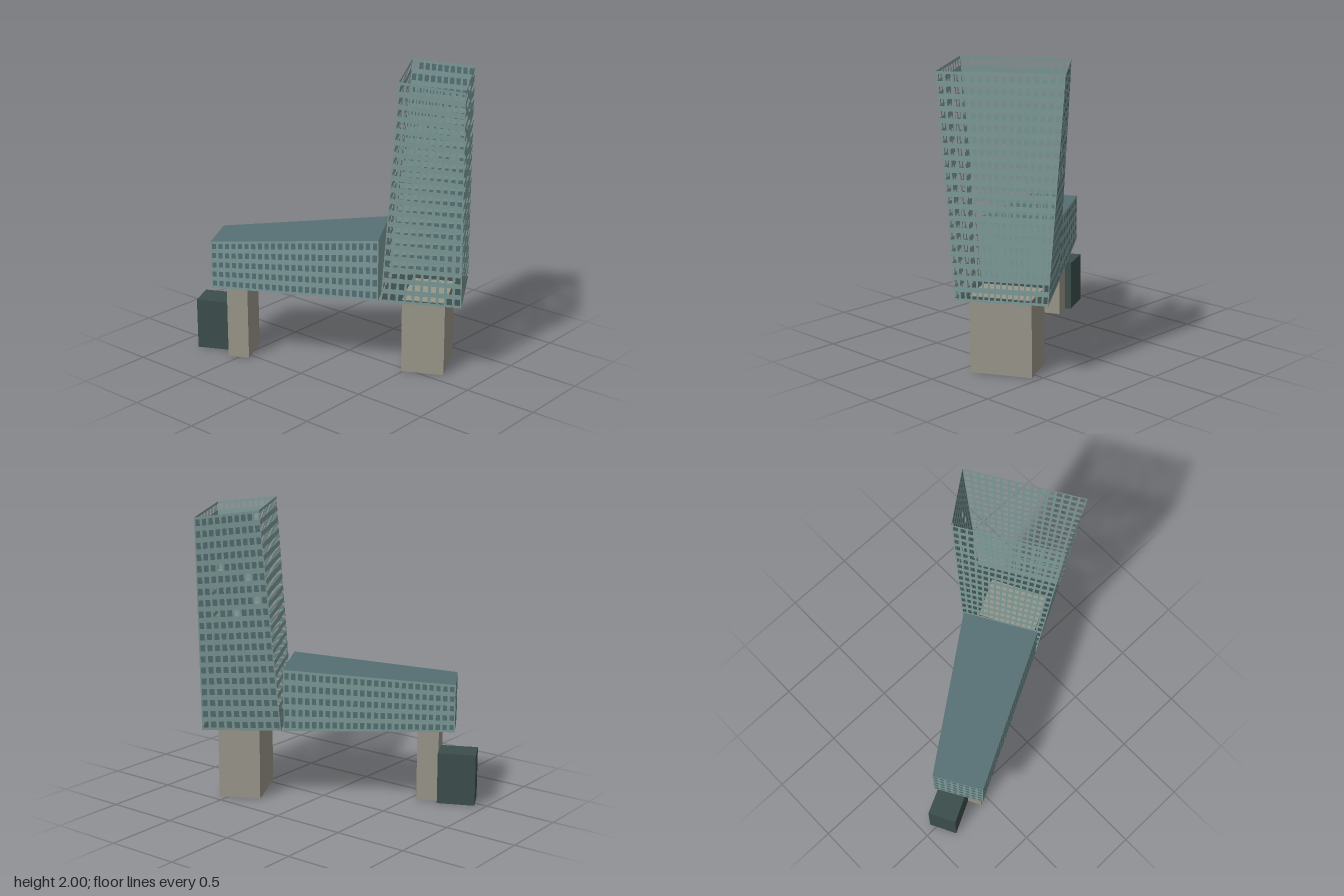
import * as THREE from 'three';

const mat = (name, color, side = THREE.FrontSide) => {
  const m = new THREE.MeshStandardMaterial({ color, side });
  m.name = name;
  return m;
};

// Flat-shaded mesh from a list of four-cornered faces
function quadMesh(name, quads, material) {
  const pos = [];
  for (const [a, b, c, d] of quads)
    for (const p of [a, b, c, a, c, d]) pos.push(p.x, p.y, p.z);
  const g = new THREE.BufferGeometry();
  g.setAttribute('position', new THREE.Float32BufferAttribute(pos, 3));
  g.computeVertexNormals();
  const mesh = new THREE.Mesh(g, material);
  mesh.name = name;
  return mesh;
}

// Ring of points from [x, z] pairs; heights is one number or one per corner
const ring = (plan, heights) => plan.map(([x, z], i) =>
  new THREE.Vector3(x, Array.isArray(heights) ? heights[i] : heights, z));

function block(name, plan, y0, y1, material) {
  const b = ring(plan, y0), t = ring(plan, y1);
  const quads = [t, [...b].reverse()];
  for (let i = 0; i < 4; i++) {
    const j = (i + 1) % 4;
    quads.push([b[i], b[j], t[j], t[i]]);
  }
  return quadMesh(name, quads, material);
}

// Window grid on the face a, b (bottom) and c, d (top): frame quads and pane quads
function facade(a, b, c, d, rows, cols, winW, winH) {
  const at = (u, v) => a.clone().lerp(b, u).lerp(d.clone().lerp(c, u), v);
  const cell = (u0, u1, v0, v1) => [at(u0, v0), at(u1, v0), at(u1, v1), at(u0, v1)];
  const frame = [], panes = [];
  const mx = (1 - winW) / 2 / cols, my = (1 - winH) / 2 / rows;
  for (let r = 0; r < rows; r++) {
    const lo = r / rows, hi = (r + 1) / rows;
    for (let k = 0; k < cols; k++) {
      const l = k / cols, e = (k + 1) / cols;
      frame.push(cell(l, e, lo, lo + my), cell(l, e, hi - my, hi),
        cell(l, l + mx, lo + my, hi - my), cell(e - mx, e, lo + my, hi - my));
      panes.push(cell(l + mx, e - mx, lo + my, hi - my));
    }
  }
  return { frame, panes };
}

export function createModel() {
  const wall = mat('wallPanel', 0x7d9a98, THREE.DoubleSide);
  const glass = mat('glassAndRoof', 0x567074, THREE.DoubleSide);
  const dark = mat('darkSlab', 0x3c4d4b, THREE.DoubleSide);
  const concrete = mat('concrete', 0x989589);
  const model = new THREE.Group();
  model.name = 'building';
  let seed = 7;
  const rand = () => (seed = (seed * 16807) % 2147483647) / 2147483647;
  const BASE = 0.51;

  // Legs and entrance box
  model.add(
    block('towerCore', [[0.49, 0.045], [0.745, -0.085], [0.555, -0.45], [0.3, -0.32]], 0, BASE + 0.004, concrete),
    block('wingLeg', [[-0.57, 0.605], [-0.44, 0.54], [-0.55, 0.32], [-0.68, 0.385]], 0, BASE, concrete),
    block('entranceBox', [[-0.84, 0.63], [-0.61, 0.515], [-0.7, 0.345], [-0.93, 0.455]], 0, 0.352, dark));

  // Low wing with a roof that rises towards the tower
  const wing = new THREE.Group();
  wing.name = 'wing';
  const wingPlan = [[-0.63, 0.685], [0.385, 0.165], [0.12, -0.285], [-0.805, 0.385]];
  const wb = ring(wingPlan, BASE), wt = ring(wingPlan, [0.835, 0.93, 0.93, 0.835]);
  wing.add(quadMesh('wingRoof', [wt], glass),
    quadMesh('wingUnderside', [[...wb].reverse()], dark),
    quadMesh('wingInnerEnd', [[wb[1], wb[2], wt[2], wt[1]]], wall));
  for (const [i, cols, name] of [[0, 25, 'wingFront'], [2, 25, 'wingBack'], [3, 8, 'wingEnd']]) {
    const j = (i + 1) % 4;
    const f = facade(wb[i], wb[j], wt[j], wt[i], 5, cols, 0.62, 0.55);
    wing.add(quadMesh(name + 'Wall', f.frame, wall), quadMesh(name + 'Windows', f.panes, glass));
  }
  model.add(wing);

  // Hollow leaning tower, open at the top
  const tower = new THREE.Group();
  tower.name = 'tower';
  const tb = ring([[0.4, 0.158], [0.875, -0.085], [0.565, -0.6], [0.133, -0.293]], BASE);
  const tt = ring([[0.55, 0.18], [0.925, 0], [0.51, -0.69], [0.18, -0.44]], [2, 1.955, 1.955, 2]);
  tower.add(quadMesh('towerFloor', [tb], dark));
  const sides = [['towerFront', 10], ['towerOuterSide', 16], ['towerBack', 10], ['towerInnerSide', 15]];
  sides.forEach(([name, cols], i) => {
    const j = (i + 1) % 4;
    const f = facade(tb[i], tb[j], tt[j], tt[i], 19, cols, 0.66, 0.56);
    tower.add(quadMesh(name + 'Wall', f.frame, wall));
    // only the back is glazed, with a few panes left open
    if (i === 2)
      tower.add(quadMesh(name + 'Windows', f.panes.filter(() => rand() > 0.05), glass));
  });
  model.add(tower);
  return model;
}
